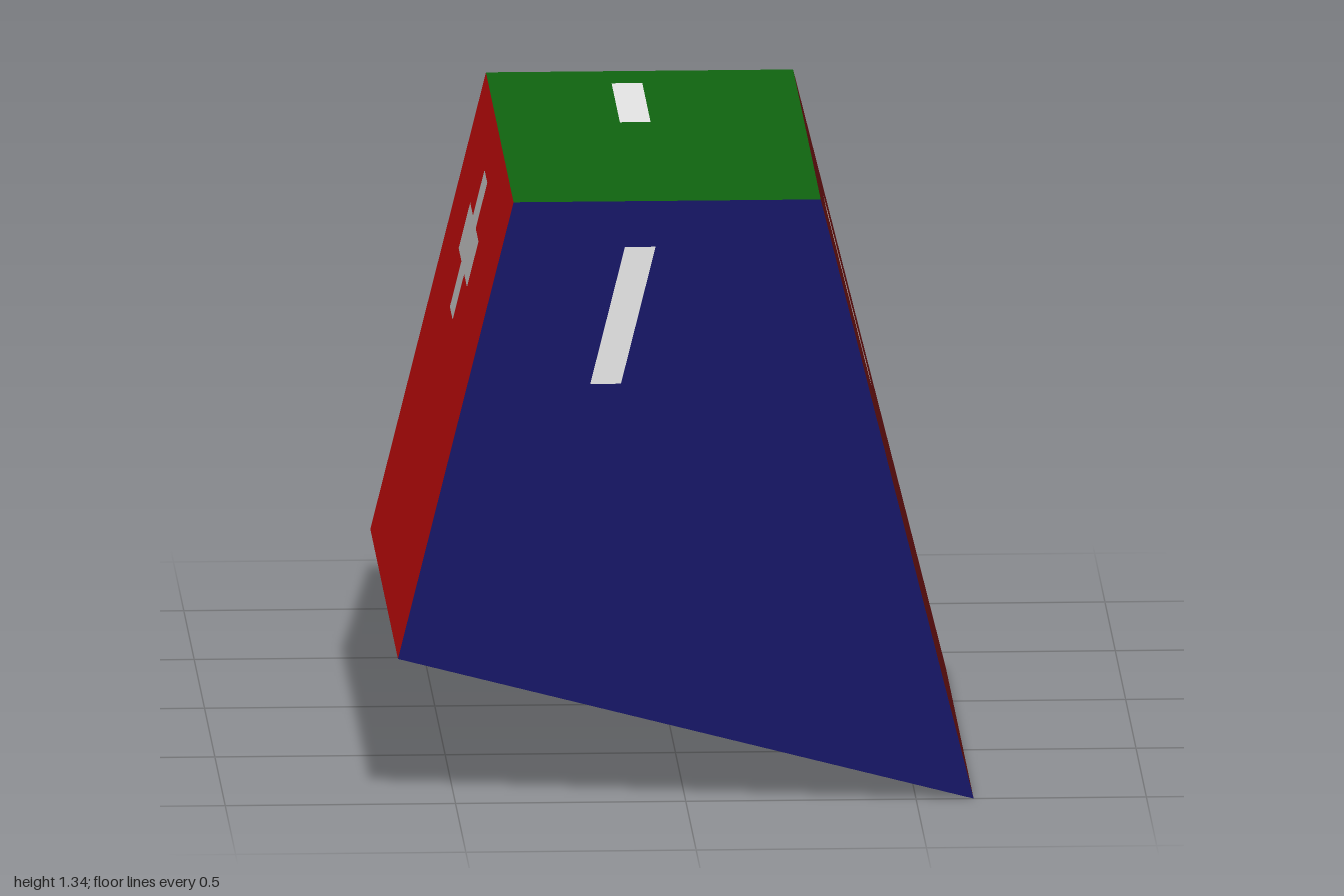
import * as THREE from 'three';

const mat = (name, color) => new THREE.MeshStandardMaterial({ name, color });
const v = (x, y, z) => new THREE.Vector3(x, y, z);

export function createModel() {
  const group = new THREE.Group();
  const colors = {
    navy: mat('navy', 0x101066), blue: mat('blue', 0x1010ff),
    darkRed: mat('dark red', 0x661010), red: mat('red', 0xff1010),
    darkGreen: mat('dark green', 0x106610), green: mat('green', 0x10ff10),
    white: mat('white', 0xffffff),
  };
  const centre = v(-0.02, 0.67, 0.2);

  // Flat convex panel, always facing away from the middle of the body
  function panel(name, points, material) {
    const normal = points[1].clone().sub(points[0]).cross(points[2].clone().sub(points[0]));
    if (normal.dot(points[0].clone().sub(centre)) < 0) points = [...points].reverse();
    const tris = [];
    for (let i = 1; i < points.length - 1; i++) tris.push(points[0], points[i], points[i + 1]);
    const geometry = new THREE.BufferGeometry().setFromPoints(tris);
    geometry.computeVertexNormals();
    const mesh = new THREE.Mesh(geometry, material);
    mesh.name = name;
    group.add(mesh);
  }

  // White rectangles [u0, u1, v0, v1] laid just above a face
  function marks(name, origin, uEnd, vEnd, rects) {
    const U = uEnd.clone().sub(origin), V = vEnd.clone().sub(origin);
    const lift = U.clone().cross(V).normalize().multiplyScalar(0.002);
    if (lift.dot(origin.clone().sub(centre)) < 0) lift.negate();
    const at = (a, b) => origin.clone().addScaledVector(U, a).addScaledVector(V, b).add(lift);
    for (const [u0, u1, v0, v1] of rects)
      panel(name, [at(u0, v0), at(u1, v0), at(u1, v1), at(u0, v1)], colors.white);
  }

  // Four-sided section, extruded from the front to the shoulder
  const section = [[-0.374, 1.333], [0.293, 1.333], [0.625, 0], [-0.625, 0.322]];
  const front = section.map(([x, y]) => v(x, y, 1));
  const back = section.map(([x, y]) => v(x, y, -0.333));
  const apex = v(-0.041, 0.667, -1);

  panel('frontFace', front, colors.navy);
  const sides = [['topFace', 'darkGreen'], ['leftFace', 'darkRed'], ['bottomFace', 'green'], ['rightFace', 'red']];
  sides.forEach(([name, color], i) => {
    const j = (i + 1) % 4;
    panel(name, [front[i], front[j], back[j], back[i]], colors[color]);
    // Pointed back
    panel('backFacet', [back[i], back[j], apex], colors.blue);
  });

  // Bars on the dark faces, crosses on the bright ones
  const bar = [[0.4, 0.5, 0.1, 0.4]];
  const cross = [[0.4, 0.7, 0.2, 0.3], [0.5, 0.6, 0.1, 0.2], [0.5, 0.6, 0.3, 0.4]];
  marks('frontBar', front[0], front[1], front[3], bar);
  marks('topBar', back[0], back[1], front[0], bar);
  marks('leftBar', front[1], back[1], front[2], bar);
  marks('rightCross', front[0], back[0], front[3], cross);
  marks('bottomCross', front[2], front[3], back[2], cross);
  marks('backCross', back[0], back[1], back[0].clone().add(v(0, -0.667, -0.667)),
    [[0.4, 0.7, 0.31, 0.5], [0.5, 0.6, 0.17, 0.31], [0.5, 0.6, 0.5, 0.67]]);

  return group;
}
